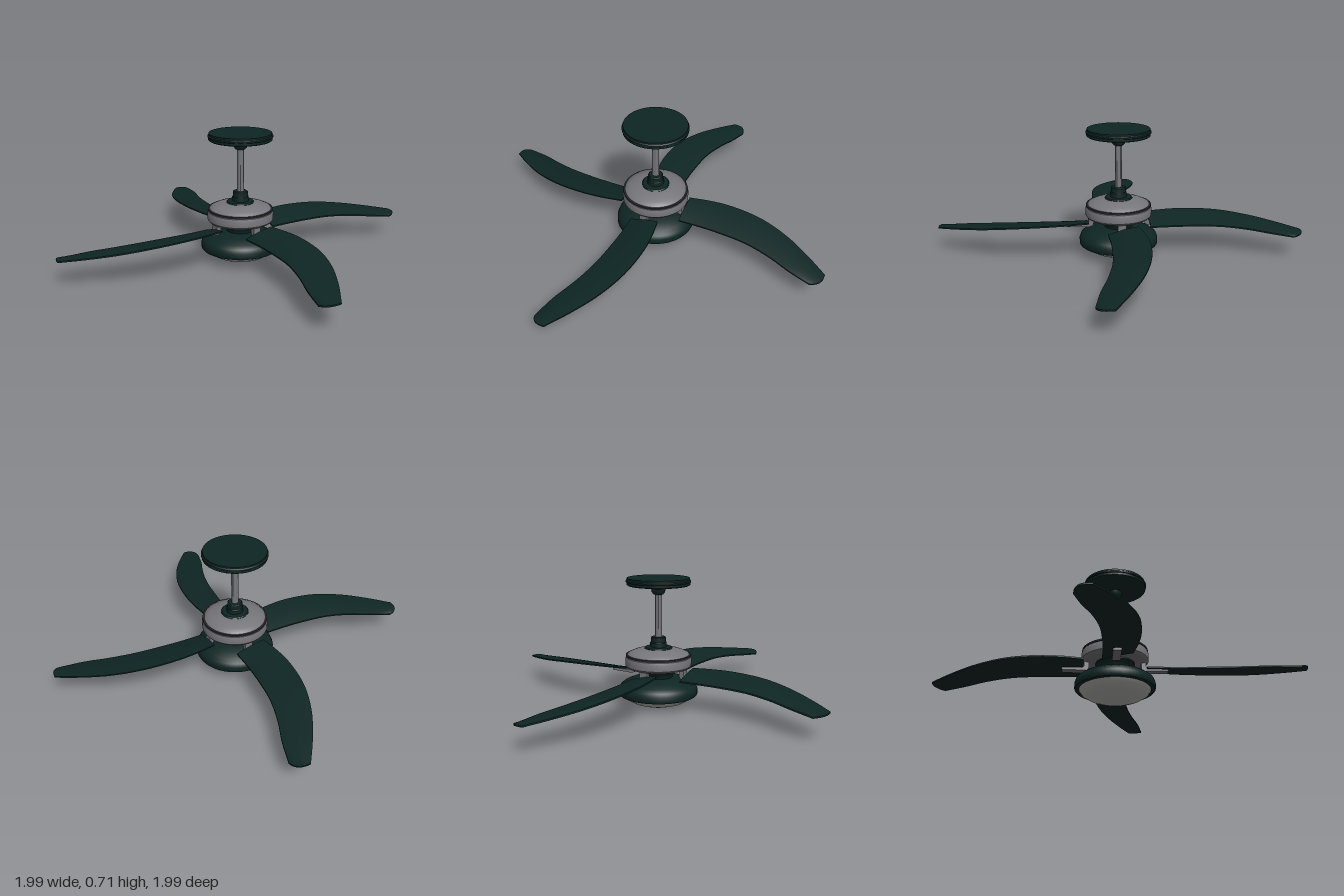
import * as THREE from 'three';
import { toCreasedNormals } from 'three/addons/utils/BufferGeometryUtils.js';

const paint = (name, color) => {
  const m = new THREE.MeshStandardMaterial({ color, side: THREE.DoubleSide });
  m.name = name;
  return m;
};

export function createModel() {
  const green = paint('darkGreen', 0x0e2624);
  const metal = paint('greyMetal', 0x76767b);
  const seam = paint('darkSeam', 0x2a2a2c);
  const glass = paint('paleGlass', 0xb4b4b0);

  const fan = new THREE.Group();
  fan.name = 'ceilingFan';

  const add = (parent, name, geometry, material) => {
    const mesh = new THREE.Mesh(geometry, material);
    mesh.name = name;
    parent.add(mesh);
    return mesh;
  };

  // Turned part from [radius, height] pairs, listed bottom to top
  const turned = (name, profile, material) => {
    const pts = profile.map(([r, y]) => new THREE.Vector2(r, y));
    return add(fan, name, toCreasedNormals(new THREE.LatheGeometry(pts, 64), 0.6), material);
  };

  // Ceiling mount and rod
  turned('canopy', [[0, 0.615], [0.026, 0.616], [0.036, 0.628], [0.04, 0.648], [0.06, 0.652],
    [0.165, 0.665], [0.172, 0.67], [0.172, 0.682], [0.176, 0.685], [0.176, 0.692],
    [0.17, 0.697], [0.17, 0.706], [0, 0.706]], green);
  turned('rod', [[0.019, 0.33], [0.019, 0.63]], metal);
  turned('rodCollar', [[0.076, 0.315], [0.076, 0.323], [0.07, 0.328], [0.046, 0.33], [0.045, 0.352],
    [0.041, 0.356], [0.041, 0.38], [0.036, 0.384], [0, 0.384]], green);

  // Motor housing
  turned('motorBand', [[0, 0.212], [0.155, 0.212], [0.172, 0.217], [0.181, 0.228], [0.182, 0.262],
    [0.178, 0.274], [0.168, 0.278]], metal);
  turned('motorSeam', [[0.165, 0.276], [0.178, 0.278], [0.178, 0.287], [0.165, 0.288]], seam);
  turned('motorDome', [[0.17, 0.286], [0.165, 0.293], [0.14, 0.304], [0.11, 0.314], [0.078, 0.321],
    [0, 0.322]], metal);

  // Neck and light bowl
  turned('neck', [[0.075, 0.145], [0.078, 0.17], [0.09, 0.19], [0.105, 0.205], [0.105, 0.214]], green);
  turned('lightBowl', [[0, 0.062], [0.212, 0.062], [0.216, 0.068], [0.216, 0.095], [0.208, 0.115],
    [0.185, 0.132], [0.145, 0.149], [0.1, 0.16], [0, 0.163]], green);
  turned('lightGlass', [[0, 0], [0.06, 0.003], [0.11, 0.012], [0.15, 0.026], [0.18, 0.045],
    [0.192, 0.063]], glass);

  // Blade edges as smooth curves; the blade is a thin box spanned between them
  const curve = (pts) => new THREE.CatmullRomCurve3(pts.map((p) => new THREE.Vector3(...p)));
  const lead = curve([[0.17, 0.205, -0.088], [0.28, 0.206, -0.106], [0.4, 0.205, -0.113],
    [0.58, 0.196, -0.092], [0.74, 0.178, -0.035], [0.88, 0.158, 0.047], [0.995, 0.14, 0.13]]);
  const trail = curve([[0.17, 0.166, 0.075], [0.28, 0.166, 0.073], [0.4, 0.166, 0.078],
    [0.56, 0.163, 0.095], [0.7, 0.153, 0.132], [0.82, 0.14, 0.178], [0.935, 0.126, 0.21]]);
  const blade = new THREE.BoxGeometry(1, 1, 1, 32, 1, 10);
  const pos = blade.attributes.position;
  for (let i = 0; i < pos.count; i++) {
    const u = pos.getX(i) + 0.5, v = pos.getZ(i) + 0.5, side = pos.getY(i);
    const p = lead.getPoint(u).lerp(trail.getPoint(u), v);
    const bulge = 4 * v * (1 - v);
    const tip = u ** 8 * bulge * 0.018;
    pos.setXYZ(i, p.x + tip, p.y + bulge * 0.004 + side * 0.008, p.z + tip);
  }
  blade.computeVertexNormals();

  // Bent bracket that hangs from the motor and carries the blade from below
  const bend = new THREE.Shape();
  bend.moveTo(0.14, 0.225);
  bend.lineTo(0.14, 0.186);
  bend.quadraticCurveTo(0.141, 0.165, 0.163, 0.165);
  bend.lineTo(0.285, 0.168);
  bend.lineTo(0.285, 0.181);
  bend.lineTo(0.18, 0.181);
  bend.quadraticCurveTo(0.167, 0.182, 0.166, 0.195);
  bend.lineTo(0.166, 0.225);
  const bracket = new THREE.ExtrudeGeometry(bend, { depth: 0.044, bevelEnabled: false });
  bracket.translate(0, 0, -0.022);

  for (let k = 0; k < 4; k++) {
    const arm = new THREE.Group();
    arm.name = 'bladeArm' + (k + 1);
    arm.rotation.y = k * Math.PI / 2;
    add(arm, 'blade', blade, green);
    add(arm, 'bracket', bracket, metal);
    fan.add(arm);
  }
  return fan;
}
